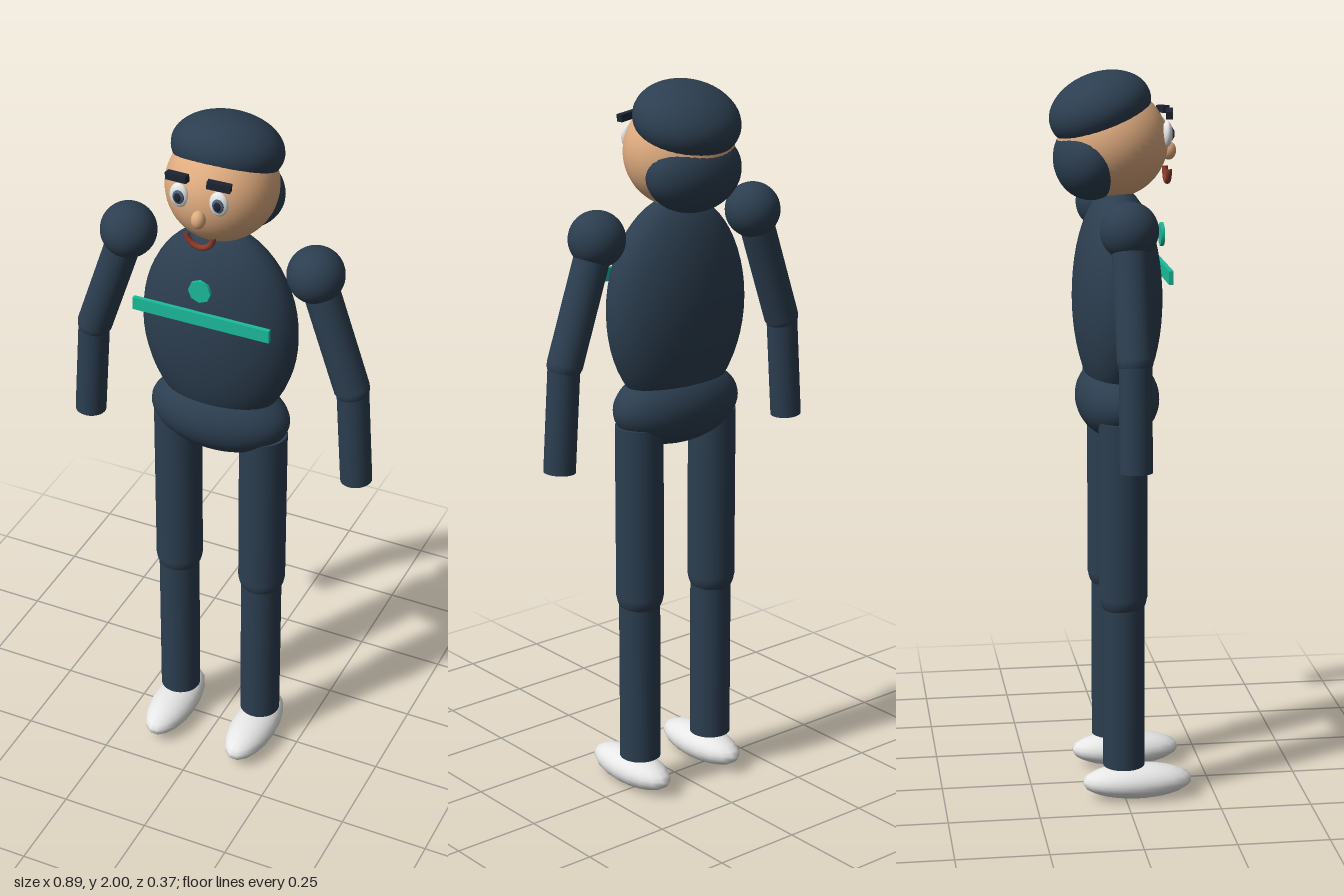
import * as THREE from 'three';

const mat = (name, color, side = THREE.FrontSide) => {
  const m = new THREE.MeshStandardMaterial({ color, side });
  m.name = name;
  return m;
};

export function createModel() {
  const navy = mat('navy', 0x2c3e50);
  const skin = mat('skin', 0xe0ac80);
  const white = mat('white', 0xf2f2f2);
  const teal = mat('teal', 0x1abc9c);
  const dark = mat('dark', 0x1d2433);
  const iris = mat('iris', 0x4a5f7a);
  const lips = mat('lips', 0x8a3a2a);
  const root = new THREE.Group();
  root.name = 'figure';

  const add = (name, geometry, material, pos, parent = root) => {
    const mesh = new THREE.Mesh(geometry, material);
    mesh.name = name;
    mesh.position.set(...pos);
    parent.add(mesh);
    return mesh;
  };
  // Ellipsoid with the given radii
  const blob = (name, radii, material, pos, parent, seg = 40) =>
    add(name, new THREE.SphereGeometry(1, seg, Math.round(seg * 0.7)).scale(...radii), material, pos, parent);
  // Straight cylinder between two points
  const limb = (name, a, b, r, parent) => {
    const from = new THREE.Vector3(...a), to = new THREE.Vector3(...b);
    const dir = to.clone().sub(from);
    const mid = from.clone().add(to).multiplyScalar(0.5);
    const mesh = add(name, new THREE.CylinderGeometry(r, r, dir.length(), 32), navy, mid.toArray(), parent);
    mesh.quaternion.setFromUnitVectors(new THREE.Vector3(0, 1, 0), dir.normalize());
    return mesh;
  };

  // Body
  blob('torso', [0.22, 0.3, 0.12], navy, [0, 1.39, -0.006]);
  blob('hips', [0.2, 0.11, 0.113], navy, [0, 1.115, -0.006]);

  // Chest trim
  add('chestBar', new THREE.BoxGeometry(0.39, 0.036, 0.012), teal, [-0.001, 1.472, 0.112]);
  const badge = new THREE.CylinderGeometry(0.032, 0.032, 0.01, 8).rotateX(Math.PI / 2);
  add('chestBadge', badge, teal, [-0.002, 1.558, 0.115]);

  // Head and hair
  const head = new THREE.Group();
  head.name = 'head';
  root.add(head);
  blob('face', [0.148, 0.148, 0.148], skin, [0, 1.808, -0.018], head);
  blob('hairTop', [0.148, 0.095, 0.14], navy, [0, 1.896, -0.051], head).rotation.x = -0.36;
  blob('hairBack', [0.144, 0.11, 0.098], navy, [0, 1.765, -0.078], head);
  blob('nose', [0.019, 0.025, 0.02], skin, [0.004, 1.782, 0.134], head, 20);
  const smile = new THREE.TorusGeometry(0.037, 0.008, 10, 24, Math.PI).rotateZ(Math.PI);
  add('mouth', smile, lips, [0.006, 1.737, 0.13], head);

  for (const [side, s] of [['right', -1], ['left', 1]]) {
    // Eye, built from the white outwards
    const eye = new THREE.Group();
    eye.name = side + 'Eye';
    eye.position.set(s * 0.055, 1.833, 0.121);
    head.add(eye);
    blob('eyeWhite', [0.026, 0.034, 0.014], white, [0, 0, 0], eye, 24);
    blob('iris', [0.016, 0.02, 0.007], iris, [0.002, 0, 0.01], eye, 20);
    blob('pupil', [0.01, 0.013, 0.005], dark, [0.002, 0, 0.015], eye, 16);
    const brow = add(side + 'Eyebrow', new THREE.BoxGeometry(0.062, 0.02, 0.018), dark, [s * 0.058, 1.887, 0.126], head);
    brow.rotation.set(0, s * 0.15, -s * 0.08);

    // Arm
    const arm = new THREE.Group();
    arm.name = side + 'Arm';
    root.add(arm);
    const z = -0.009;
    blob('shoulder', [0.076, 0.076, 0.076], navy, [s * 0.268, 1.61, z], arm);
    limb('upperArm', [s * 0.272, 1.6, z], [s * 0.378, 1.29, z], 0.048, arm);
    blob('elbow', [0.047, 0.047, 0.047], navy, [s * 0.378, 1.292, z], arm);
    limb('forearm', [s * 0.38, 1.295, z], [s * 0.4, 1.002, z], 0.043, arm);

    // Leg
    const leg = new THREE.Group();
    leg.name = side + 'Leg';
    root.add(leg);
    const x = s * 0.128;
    limb('thigh', [x, 1.075, -0.006], [x, 0.585, -0.006], 0.066, leg);
    blob('knee', [0.065, 0.065, 0.065], navy, [x, 0.587, -0.006], leg);
    limb('shin', [x, 0.585, -0.004], [x, 0.1, -0.004], 0.057, leg);
    blob('shoe', [0.065, 0.048, 0.153], white, [x, 0.05, 0.034], leg, 18);
  }
  return root;
}
